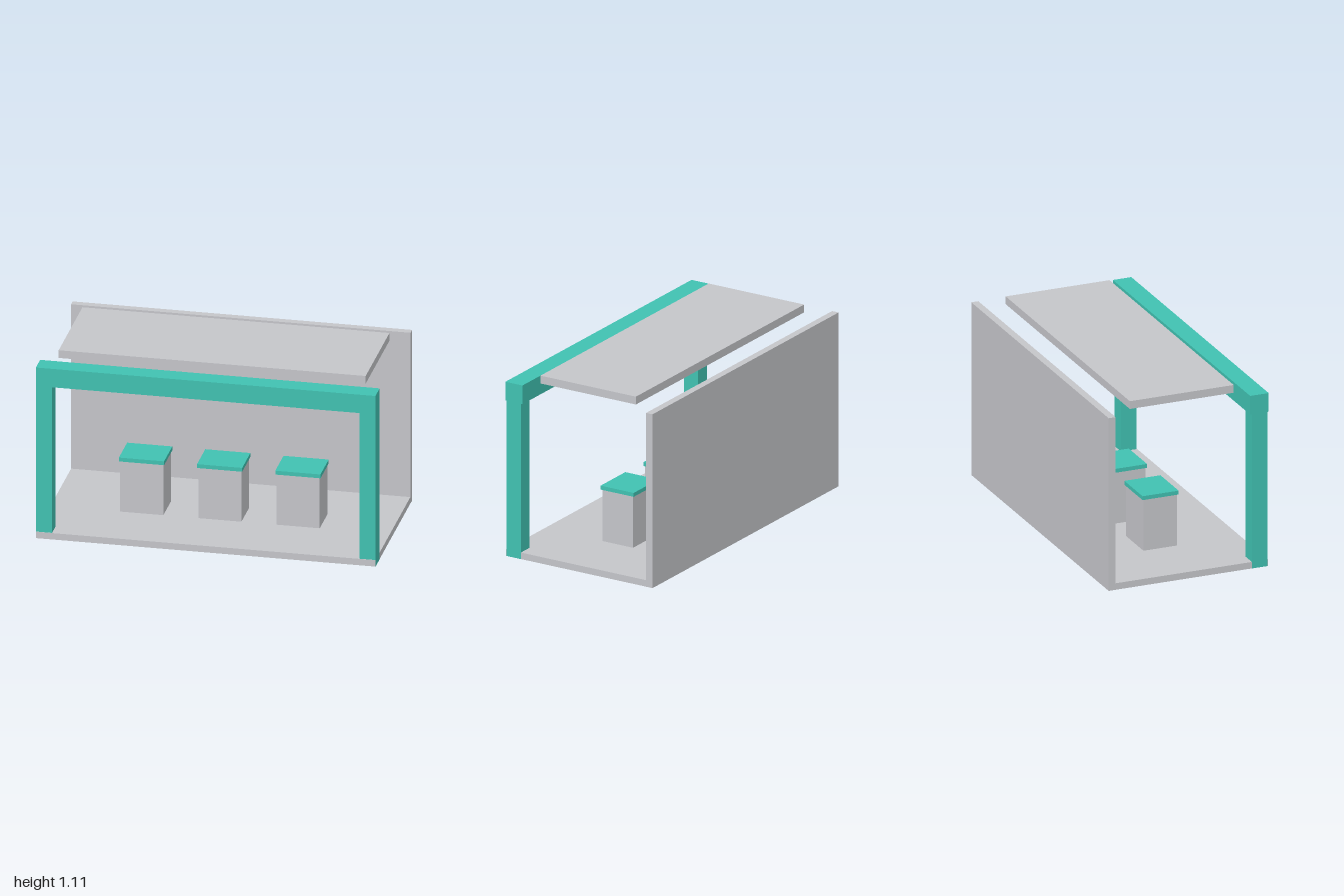
import * as THREE from 'three';

export function createModel() {
  const model = new THREE.Group();
  model.name = 'openStand';

  const grey = new THREE.MeshStandardMaterial({ color: 0xc4c5c9 });
  grey.name = 'light grey';
  const teal = new THREE.MeshStandardMaterial({ color: 0x40c1b1 });
  teal.name = 'teal';

  // Box given by its extents along each axis
  function slab(name, material, [x0, x1], [y0, y1], [z0, z1]) {
    const mesh = new THREE.Mesh(new THREE.BoxGeometry(x1 - x0, y1 - y0, z1 - z0), material);
    mesh.position.set((x0 + x1) / 2, (y0 + y1) / 2, (z0 + z1) / 2);
    mesh.name = name;
    model.add(mesh);
    return mesh;
  }

  // Shell: floor, back wall and floating roof panel
  slab('floor', grey, [-0.999, 0.999], [0, 0.04], [-0.5, 0.498]);
  slab('backWall', grey, [-1, 1], [0, 1.067], [-0.501, -0.457]);
  slab('roofPanel', grey, [-0.904, 0.904], [1.063, 1.111], [-0.327, 0.324]);

  // Front frame: two posts carrying a beam
  slab('rightPost', teal, [-1, -0.906], [0, 0.953], [0.397, 0.495]);
  slab('leftPost', teal, [0.906, 1], [0, 0.953], [0.397, 0.495]);
  slab('frontBeam', teal, [-1, 1], [0.953, 1.068], [0.386, 0.502]);

  // Row of three pedestals with overhanging tops
  for (const x of [-0.462, -0.002, 0.459]) {
    slab('pedestal', grey, [x - 0.127, x + 0.127], [0.04, 0.356], [-0.106, 0.104]);
    slab('pedestalTop', teal, [x - 0.133, x + 0.133], [0.356, 0.38], [-0.114, 0.112]);
  }

  return model;
}
